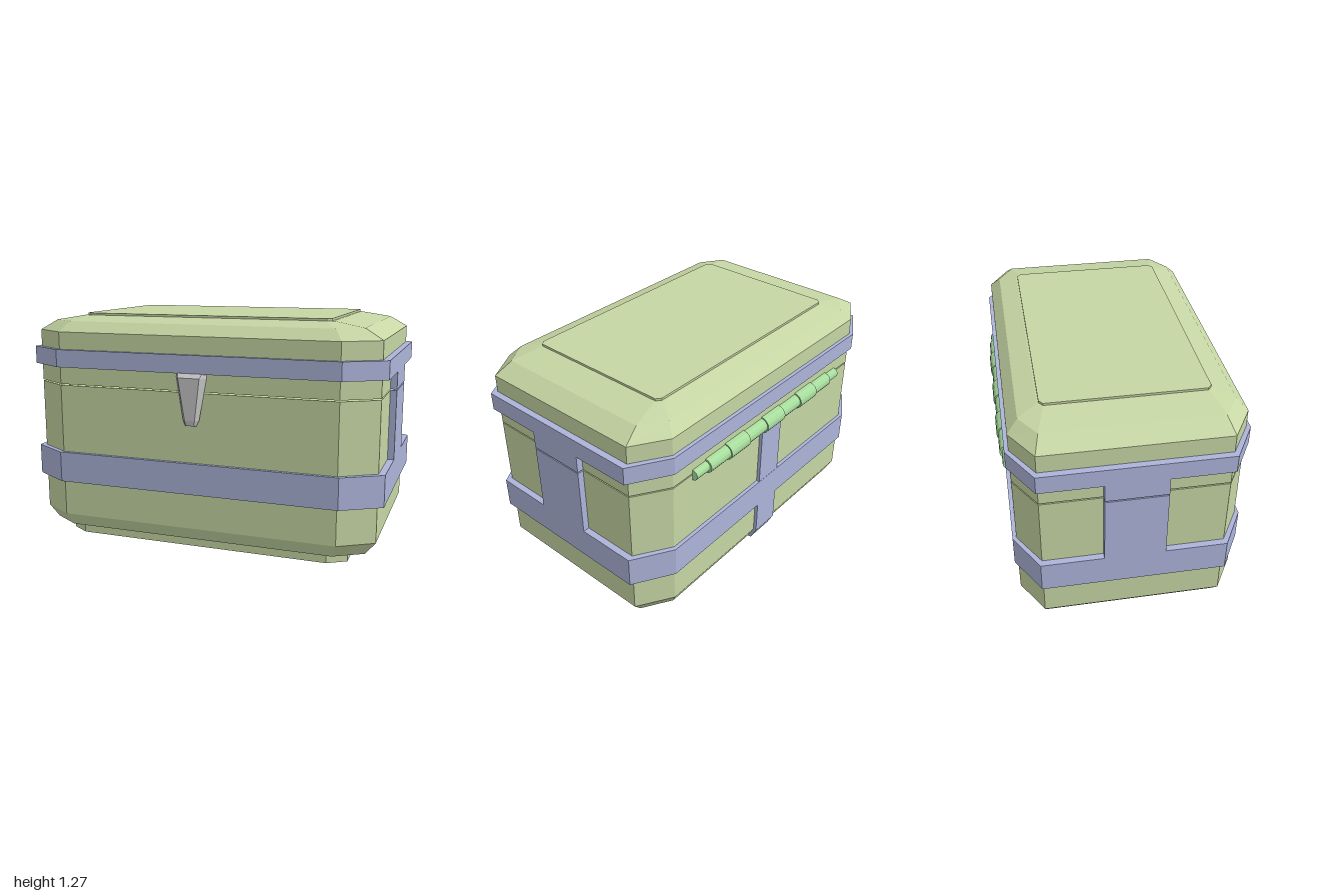
import * as THREE from 'three';

const mat = (color) => new THREE.MeshStandardMaterial({ color, flatShading: true, side: THREE.DoubleSide });

// Octagon outline with half sizes hx, hz; the flat sides end at cx and cz
const octagon = (hx, hz, cx, cz) => [
  [-cx, hz], [cx, hz], [hx, cz], [hx, -cz], [cx, -hz], [-cx, -hz], [-hx, -cz], [-hx, cz]];

// Capped solid from [y, outline] cross-sections, bottom to top
function loft(sections) {
  const n = sections[0][1].length, pos = [], idx = [];
  for (const [y, ring] of sections) for (const [x, z] of ring) pos.push(x, y, z);
  for (let s = 0; s < sections.length - 1; s++) {
    for (let i = 0; i < n; i++) {
      const a = s * n + i, b = s * n + (i + 1) % n;
      idx.push(a, b, b + n, a, b + n, a + n);
    }
  }
  const top = (sections.length - 1) * n;
  for (let i = 1; i < n - 1; i++) {
    idx.push(0, i + 1, i);
    idx.push(top, top + i, top + i + 1);
  }
  const g = new THREE.BufferGeometry();
  g.setAttribute('position', new THREE.Float32BufferAttribute(pos, 3));
  g.setIndex(idx);
  const flat = g.toNonIndexed();
  flat.computeVertexNormals();
  return flat;
}

// Octagonal hoop between two heights
function hoop(y0, y1) {
  const v = (pts) => pts.map(([x, z]) => new THREE.Vector2(x, z));
  const shape = new THREE.Shape(v(octagon(1, 0.605, 0.79, 0.48)));
  shape.holes.push(new THREE.Path(v(octagon(0.955, 0.575, 0.775, 0.465))));
  const g = new THREE.ExtrudeGeometry(shape, { depth: y1 - y0, bevelEnabled: false });
  return g.rotateX(-Math.PI / 2).translate(0, y0, 0);
}

export function createModel() {
  const model = new THREE.Group();
  const shell = mat(0xc6d6a4), trim = mat(0xacb4da), hingeMat = mat(0xa6dc9c), grey = mat(0xcccccc);
  const box = new THREE.Group();
  box.position.z = 0.005;
  model.add(box);
  const add = (name, geometry, material, parent = box) => {
    const m = new THREE.Mesh(geometry, material);
    m.name = name;
    parent.add(m);
    return m;
  };

  // Chest shell: foot, body and lid with a thin seam between
  const full = octagon(0.965, 0.585, 0.78, 0.47);
  const foot = octagon(0.815, 0.495, 0.715, 0.433);
  add('foot', loft([[0, foot], [0.08, foot]]), shell);
  add('body', loft([[0.063, octagon(0.91, 0.55, 0.755, 0.455)], [0.133, full], [0.878, full]]), shell);
  add('lid', loft([
    [0.885, full],
    [1.172, full],
    [1.228, octagon(0.87, 0.53, 0.74, 0.445)],
    [1.256, octagon(0.705, 0.43, 0.67, 0.405)],
  ]), shell);
  const panel = octagon(0.695, 0.422, 0.67, 0.402);
  add('topPanel', loft([[1.25, panel], [1.268, panel]]), shell);

  // Hoops around the body and lid
  add('lowerBand', hoop(0.33, 0.5), trim);
  add('upperBand', hoop(0.98, 1.077), trim);

  // Side straps, split at the seam
  for (const side of [-1, 1]) {
    for (const [y0, y1] of [[0.5, 0.878], [0.885, 0.98]]) {
      const g = new THREE.BoxGeometry(0.05, y1 - y0, 0.316);
      add('sideStrap', g.translate(side * 0.975, (y0 + y1) / 2, 0), trim);
    }
  }

  // Back strap, following the lower chamfer
  const bar = (zBack, zFront) => [[-0.085, zFront], [0.085, zFront], [0.085, zBack], [-0.085, zBack]];
  add('backStrap', loft([
    [0.062, bar(-0.568, -0.54)], [0.135, bar(-0.604, -0.57)], [0.87, bar(-0.604, -0.57)]]), trim);

  // Hinge: knuckles of alternating size on a pin
  const hinge = new THREE.Group();
  hinge.name = 'hinge';
  hinge.position.set(0, 0.877, -0.587);
  box.add(hinge);
  const rod = (r, len, x) => new THREE.CylinderGeometry(r, r, len, 16).rotateZ(Math.PI / 2).translate(x, 0, 0);
  for (let i = -3; i <= 3; i++) {
    add('hingeKnuckle', rod(i % 2 === 0 ? 0.048 : 0.041, 0.155, i * 0.155), hingeMat, hinge);
  }
  // Larger knuckles sit at the centre and at two steps out
  add('hingePin', rod(0.03, 1.28, 0), hingeMat, hinge);

  // Tapered front clasp
  const slab = (wf, zf, wb, zb) => [[-wf, zf], [wf, zf], [wb, zb], [-wb, zb]];
  add('clasp', loft([
    [0.706, slab(0.022, 0.61, 0.032, 0.6)],
    [0.735, slab(0.028, 0.617, 0.046, 0.595)],
    [0.96, slab(0.06, 0.627, 0.085, 0.585)],
    [0.982, slab(0.068, 0.608, 0.085, 0.58)],
  ]), grey);
  return model;
}
